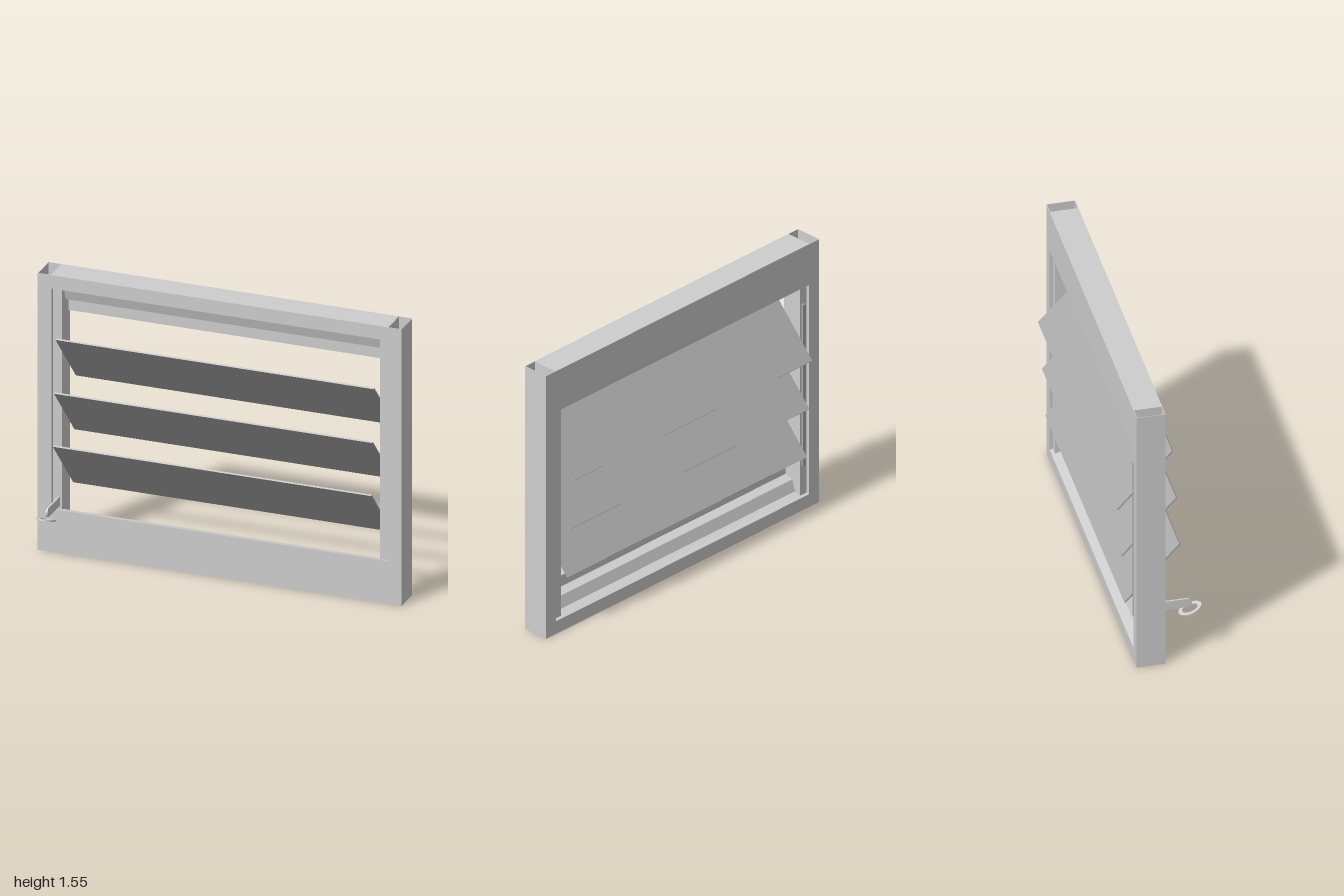
import * as THREE from 'three';

const BACK = -0.146, FRONT = 0.006, TOP = 1.55, INNER = 0.925;

function shapeOf(points) {
  return new THREE.Shape(points.map(([x, y]) => new THREE.Vector2(x, y)));
}

// Extrudes a (z, y) profile along x, centred on x = 0
function extrudeAlongX(shape, length) {
  const g = new THREE.ExtrudeGeometry(shape, { depth: length, bevelEnabled: false, curveSegments: 16 });
  g.translate(0, 0, -length / 2);
  g.rotateY(-Math.PI / 2);
  return g;
}

export function createModel() {
  const model = new THREE.Group();
  model.name = 'louvreWindow';
  const frameMat = new THREE.MeshStandardMaterial({ color: 0xcecece });
  frameMat.name = 'frame grey';
  const bladeMat = new THREE.MeshStandardMaterial({ color: 0xaaaaaa });
  bladeMat.name = 'blade grey';

  const add = (name, geometry, material, x = 0, y = 0, z = 0) => {
    const mesh = new THREE.Mesh(geometry, material);
    mesh.name = name;
    mesh.position.set(x, y, z);
    model.add(mesh);
    return mesh;
  };

  // Head rail with stepped underside; the sill is the same section turned half round
  const section = [
    [FRONT, TOP], [FRONT, 1.475], [-0.045, 1.457], [-0.065, 1.395],
    [-0.112, 1.38], [-0.112, 1.315], [BACK, 1.31], [BACK, TOP],
  ];
  const turned = section.map(([z, y]) => [BACK + FRONT - z, TOP - y]);
  add('headRail', extrudeAlongX(shapeOf(section), INNER * 2), frameMat);
  add('sill', extrudeAlongX(shapeOf(turned), INNER * 2), frameMat);

  // Hollow side posts, open at both ends, each with an inner guide
  const wall = 0.003;
  for (const [side, s] of [['left', 1], ['right', -1]]) {
    const w = (1 - INNER) / 2, d = (FRONT - BACK) / 2;
    const rect = (a, b) => [[-a, -b], [a, -b], [a, b], [-a, b]];
    const tube = shapeOf(rect(w, d));
    tube.holes.push(shapeOf(rect(w - wall, d - wall)));
    const g = new THREE.ExtrudeGeometry(tube, { depth: TOP, bevelEnabled: false });
    g.rotateX(-Math.PI / 2);
    add(side + 'Post', g, frameMat, s * (1 - w), 0, (FRONT + BACK) / 2);
    add(side + 'Guide', new THREE.BoxGeometry(0.05, 1.45, 0.116), frameMat, s * 0.9, TOP / 2, -0.072);
  }

  // Link bar behind the right guide
  add('linkBar', new THREE.BoxGeometry(0.016, 0.95, 0.012), bladeMat, -0.894, 0.73, -0.136);

  // Tilted blades
  const blades = [[1.068, -0.072], [0.775, -0.051], [0.485, -0.034]];
  blades.forEach(([y, z], i) => {
    const blade = add('blade' + (i + 1), new THREE.BoxGeometry(1.75, 0.009, 0.43), bladeMat, 0, y, z);
    blade.rotation.x = -0.83;
  });

  // Flat lever with a rounded end
  const lever = new THREE.Shape();
  lever.moveTo(-0.03, 0.259);
  lever.lineTo(0.145, 0.259);
  lever.absarc(0.145, 0.2845, 0.0255, -Math.PI / 2, Math.PI / 2, false);
  lever.lineTo(-0.03, 0.31);
  add('lever', extrudeAlongX(lever, 0.01), frameMat, -0.889);

  // Tilted oval pull ring
  const oval = new THREE.Shape().absellipse(0, 0, 0.05, 0.064, 0, Math.PI * 2);
  oval.holes.push(new THREE.Path().absellipse(0, 0, 0.031, 0.042, 0, Math.PI * 2));
  const ringGeo = new THREE.ExtrudeGeometry(oval, { depth: 0.008, bevelEnabled: false, curveSegments: 32 });
  ringGeo.translate(0, 0, -0.004);
  add('pullRing', ringGeo, frameMat, -0.895, 0.249, 0.161).rotation.x = 1.23;

  return model;
}
